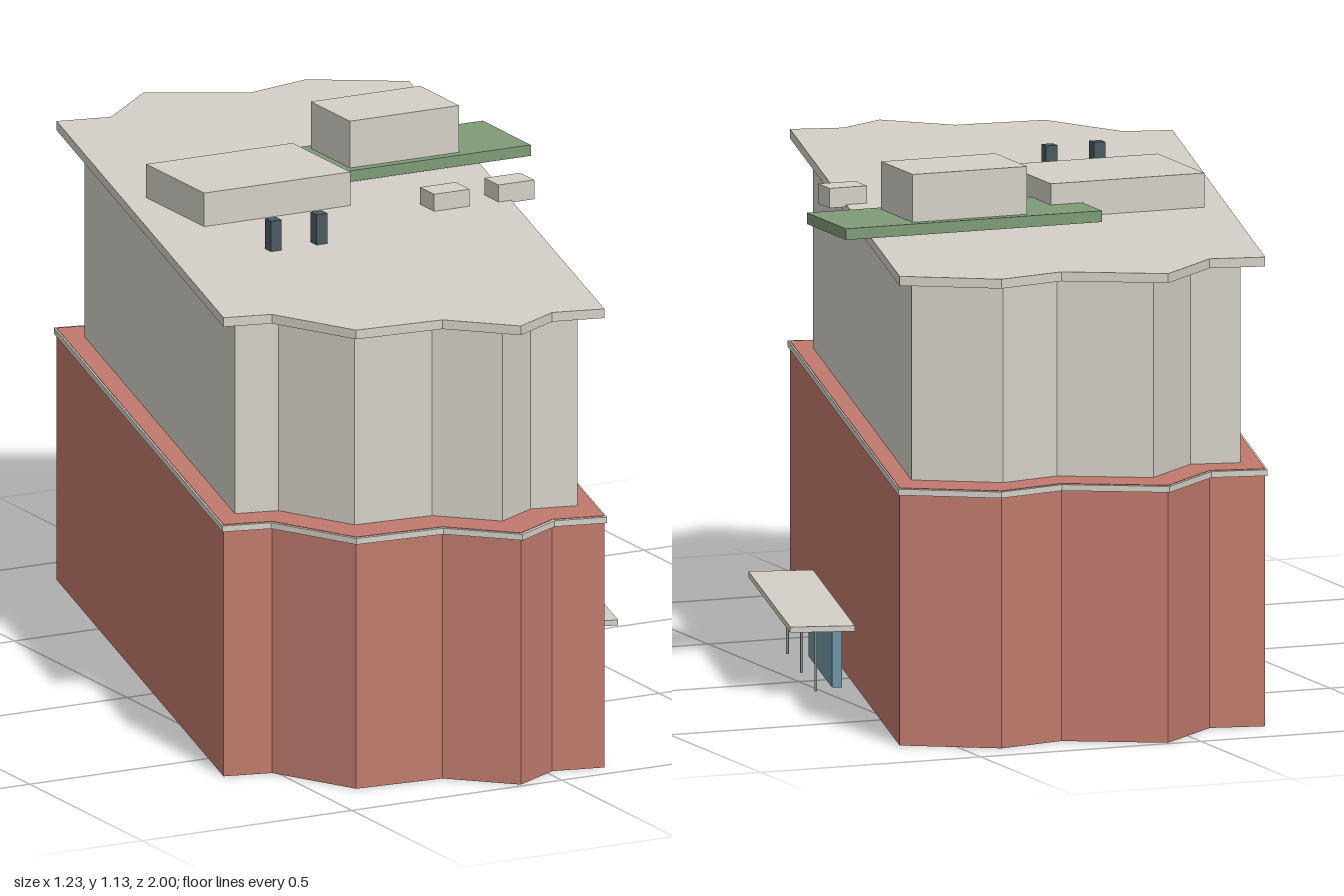
import * as THREE from 'three';

const mat = (color) => new THREE.MeshStandardMaterial({ color });
const BRICK = mat(0xc07a6c), STONE = mat(0xd4d0c7), GREEN = mat(0x7f9b78);
const GLASS = mat(0x6f98a3), DARK = mat(0x4a5a60), METAL = mat(0x8a9294);

// Footprint as [x, z]: zigzag front and back ends, straight long sides
const OUTLINE = [
  [-0.612, 0.638], [-0.51, 0.663], [-0.412, 0.855], [-0.214, 0.87], [-0.092, 0.99],
  [0.016, 0.928], [0.126, 0.955], [0.604, -0.805], [0.42, -0.92], [0.269, -0.884],
  [0.07, -0.99], [-0.08, -0.855], [-0.196, -0.88],
];

// Vertical prism over the scaled footprint
function storey(name, scale, y0, y1, material) {
  const shape = new THREE.Shape(OUTLINE.map(([x, z]) => new THREE.Vector2(x * scale, -z * scale)));
  const geo = new THREE.ExtrudeGeometry(shape, { depth: y1 - y0, bevelEnabled: false });
  geo.rotateX(-Math.PI / 2).translate(0, y0, 0);
  const mesh = new THREE.Mesh(geo, material);
  mesh.name = name;
  return mesh;
}

// Box given by its ranges on each axis
function block(name, [x0, x1], [y0, y1], [z0, z1], material) {
  const mesh = new THREE.Mesh(new THREE.BoxGeometry(x1 - x0, y1 - y0, z1 - z0), material);
  mesh.position.set((x0 + x1) / 2, (y0 + y1) / 2, (z0 + z1) / 2);
  mesh.name = name;
  return mesh;
}

export function createModel() {
  const model = new THREE.Group();
  model.name = 'building';

  // Main volumes
  model.add(
    storey('lowerWalls', 1, 0, 0.549, BRICK),
    storey('terraceBand', 1.01, 0.535, 0.548, STONE),
    storey('upperWalls', 0.9, 0.549, 0.98, STONE),
    storey('roofSlab', 1, 0.98, 1.0, STONE),
  );

  // Rooftop structures
  model.add(
    block('plantRoom', [-0.312, 0.037], [1.0, 1.073], [-0.265, -0.008], STONE),
    block('greenDeck', [-0.035, 0.547], [1.004, 1.028], [-0.372, -0.158], GREEN),
    block('deckPavilion', [0.127, 0.387], [1.028, 1.13], [-0.352, -0.178], STONE),
  );
  for (const x of [0.17, 0.324]) {
    model.add(block('roofUnit', [x, x + 0.085], [0.995, 1.037], [0.052, 0.115], STONE));
  }
  for (const x of [-0.281, -0.172]) {
    model.add(block('roofVent', [x, x + 0.026], [1.0, 1.066], [0.205, 0.231], DARK));
  }

  // Entrance parallel to the long left wall: local z runs along it, x points out
  const entrance = new THREE.Group();
  entrance.name = 'entrance';
  entrance.position.set(0.4525, 0, 0.1005);
  entrance.rotation.y = -0.264;
  entrance.add(
    block('canopy', [-0.0685, 0.0685], [0.146, 0.158], [-0.3455, 0.3455], STONE),
    block('glassDoors', [-0.061, -0.04], [0, 0.133], [-0.192, 0.195], GLASS),
  );
  for (const z of [-0.233, 0, 0.233]) {
    const post = new THREE.Mesh(new THREE.CylinderGeometry(0.003, 0.003, 0.146, 8), METAL);
    post.position.set(0, 0.073, z);
    post.name = 'canopyPost';
    entrance.add(post);
  }
  model.add(entrance);
  return model;
}
